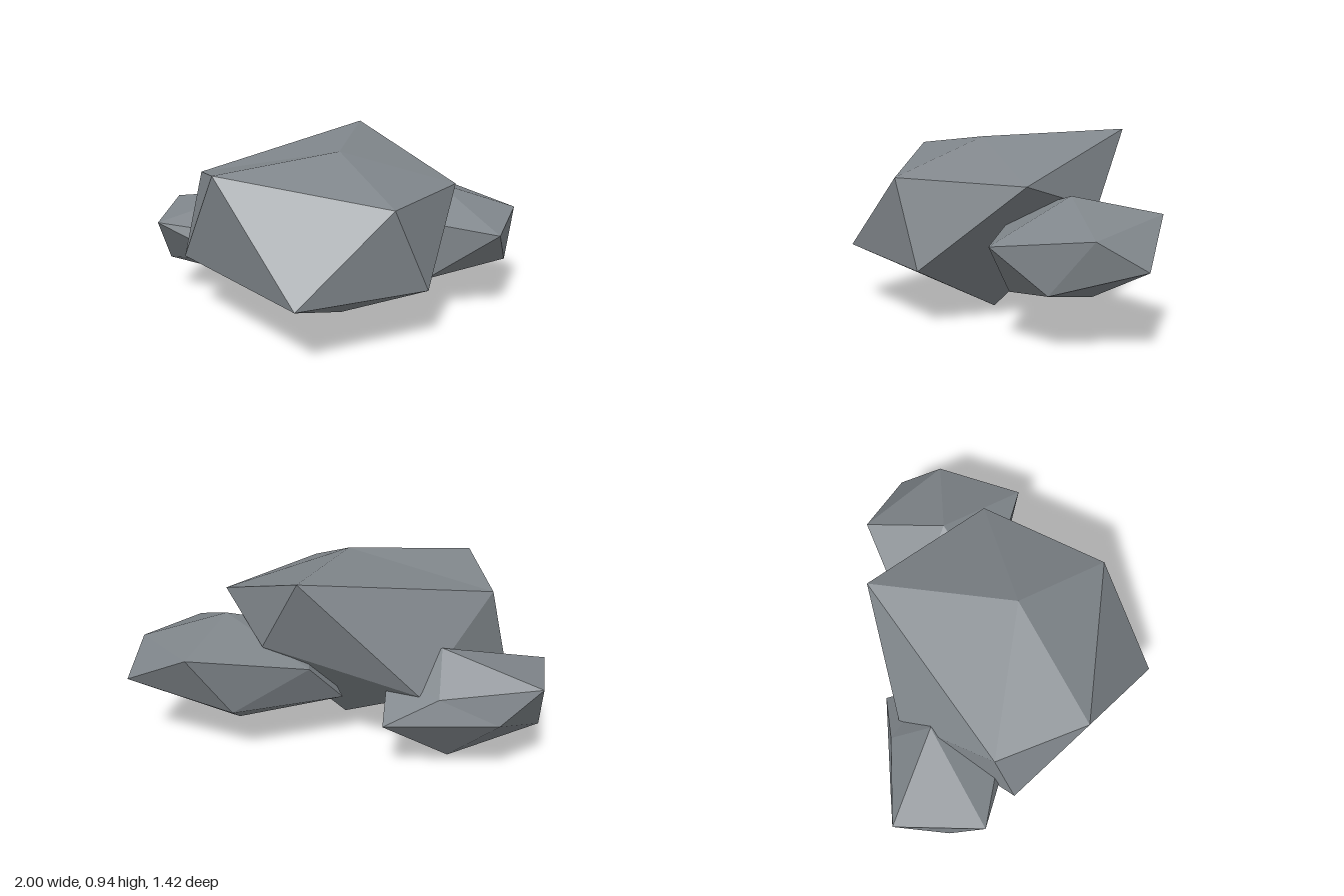
import * as THREE from 'three';

// A boulder is a distorted icosahedron: top point, two rings of five, bottom point.
// Rings run counter-clockwise seen from above; lower[i] sits between upper[i] and upper[i + 1].
function boulder(name, material, { top, upper, lower, bottom }) {
  const corners = [];
  for (let i = 0; i < 5; i++) {
    const j = (i + 1) % 5;
    corners.push(
      top, upper[i], upper[j],
      upper[i], lower[i], upper[j],
      lower[i], lower[j], upper[j],
      bottom, lower[j], lower[i],
    );
  }
  const geometry = new THREE.BufferGeometry();
  geometry.setAttribute('position', new THREE.Float32BufferAttribute(corners.flat(), 3));
  geometry.computeVertexNormals(); // unshared corners give flat facets
  const mesh = new THREE.Mesh(geometry, material);
  mesh.name = name;
  return mesh;
}

export function createModel() {
  const model = new THREE.Group();
  model.name = 'rockCluster';
  const stone = new THREE.MeshStandardMaterial({ color: 0x80868b, flatShading: true });
  stone.name = 'stoneGrey';

  // Large central boulder
  model.add(boulder('mainBoulder', stone, {
    top: [-0.02, 0.9, 0.03],
    upper: [[0.6, 0.7, -0.07], [0.14, 0.94, -0.67], [-0.74, 0.76, -0.17], [-0.64, 0.84, 0.28], [0.21, 0.715, 0.5]],
    lower: [[0.34, 0.56, -0.48], [-0.4, 0.41, -0.63], [-0.84, 0.32, -0.09], [-0.26, 0.31, 0.71], [0.39, 0.285, 0.41]],
    bottom: [-0.01, 0, -0.03],
  }));

  // Smaller boulder on the +x side
  model.add(boulder('leftBoulder', stone, {
    top: [0.55, 0.65, -0.29],
    upper: [[0.98, 0.51, -0.28], [0.65, 0.57, -0.7], [0.11, 0.48, -0.54], [0.2, 0.53, -0.1], [0.8, 0.47, 0.14]],
    lower: [[1, 0.375, -0.51], [0.47, 0.265, -0.6], [-0.03, 0.27, -0.39], [0.45, 0.185, -0.02], [0.89, 0.265, -0.1]],
    bottom: [0.48, 0.15, -0.42],
  }));

  // Smaller boulder at the back on the -x side
  model.add(boulder('rightBoulder', stone, {
    top: [-0.5, 0.58, -0.46],
    upper: [[-0.25, 0.45, -0.45], [-0.49, 0.42, -0.675], [-0.94, 0.5, -0.69], [-1, 0.46, -0.25], [-0.5, 0.42, -0.1]],
    lower: [[-0.24, 0.285, -0.7], [-0.76, 0.32, -0.71], [-0.97, 0.2, -0.44], [-0.6, 0.29, -0.09], [-0.36, 0.18, -0.5]],
    bottom: [-0.545, 0.045, -0.51],
  }));

  return model;
}
